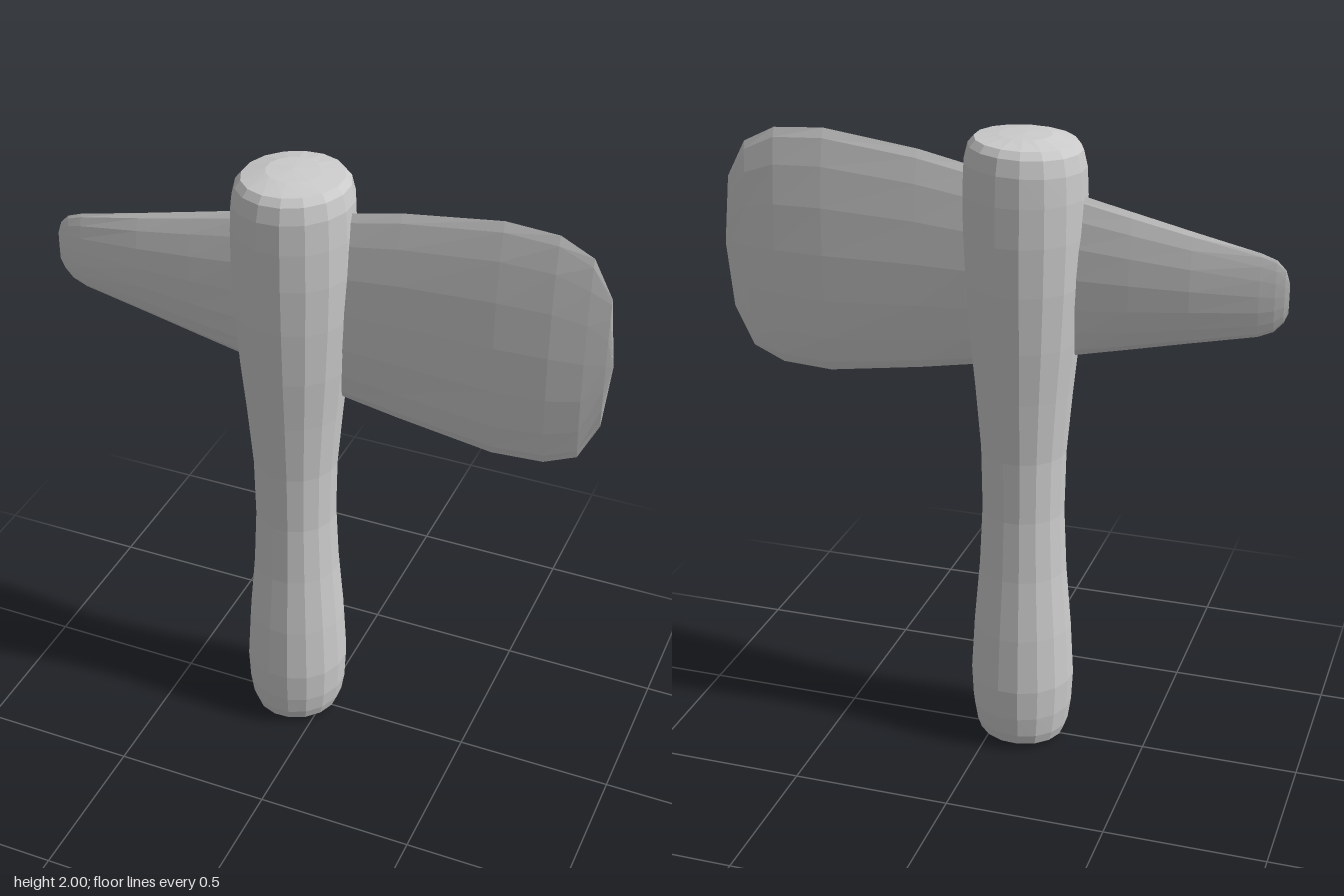
import * as THREE from 'three';

const material = new THREE.MeshStandardMaterial({ color: 0xcccccc, flatShading: true, side: THREE.DoubleSide });

// Waisted handle with shallow domed ends, slightly skewed at both ends
function makeHandle() {
  const profile = [
    [0, 0], [0.08, 0.008], [0.138, 0.02], [0.15, 0.055], [0.16, 0.12], [0.165, 0.22],
    [0.155, 0.4], [0.138, 0.6], [0.129, 0.8], [0.133, 1.0], [0.15, 1.2],
    [0.167, 1.37], [0.18, 1.55], [0.186, 1.7], [0.186, 1.82], [0.182, 1.91],
    [0.17, 1.96], [0.152, 1.982], [0.08, 1.996], [0, 2.0],
  ].map(([r, y]) => new THREE.Vector2(r, y));
  const geometry = new THREE.LatheGeometry(profile, 16, Math.PI / 16);
  const pos = geometry.attributes.position;
  for (let i = 0; i < pos.count; i++) {
    const y = pos.getY(i);
    if (y > 0.015 && y < 0.1 || y > 1.9 && y < 1.99) pos.setY(i, y + 0.04 * pos.getX(i));
  }
  geometry.computeVertexNormals();
  const mesh = new THREE.Mesh(geometry, material);
  mesh.name = 'handle';
  mesh.position.x = -0.092;
  return mesh;
}

// Lens-shaped sections lofted along x: [x, bottom y, top y, half thickness]
function makeBlade() {
  const sections = [
    [-0.885, 1.53, 1.62, 0.001], [-0.872, 1.5, 1.66, 0.006], [-0.845, 1.47, 1.687, 0.012],
    [-0.8, 1.45, 1.703, 0.018], [-0.6, 1.407, 1.748, 0.036], [-0.42, 1.367, 1.79, 0.043],
    [-0.25, 1.33, 1.83, 0.045], [0.08, 1.262, 1.89, 0.046], [0.24, 1.234, 1.925, 0.046],
    [0.54, 1.19, 1.965, 0.045], [0.7, 1.2, 1.955, 0.036], [0.8, 1.245, 1.905, 0.02],
    [0.86, 1.37, 1.79, 0.007], [0.88, 1.57, 1.58, 0.001],
  ];
  const sides = 16, positions = [], index = [];
  for (const [x, low, high, t] of sections) {
    for (let j = 0; j < sides; j++) {
      const a = (j / sides) * Math.PI * 2;
      const s = Math.sin(a);
      const z = Math.sign(s) * Math.pow(Math.abs(s), 1.35) * t;
      positions.push(x, (low + high) / 2 + Math.cos(a) * (high - low) / 2, z - 0.005);
    }
  }
  for (let i = 0; i < sections.length - 1; i++) {
    for (let j = 0; j < sides; j++) {
      const a = i * sides + j, b = i * sides + (j + 1) % sides;
      index.push(a, a + sides, b, b, a + sides, b + sides);
    }
  }
  // Close both tips
  const last = (sections.length - 1) * sides;
  for (let j = 1; j < sides - 1; j++) {
    index.push(0, j, j + 1, last, last + j + 1, last + j);
  }
  const geometry = new THREE.BufferGeometry();
  geometry.setAttribute('position', new THREE.Float32BufferAttribute(positions, 3));
  geometry.setIndex(index);
  geometry.computeVertexNormals();
  const mesh = new THREE.Mesh(geometry, material);
  mesh.name = 'blade';
  return mesh;
}

export function createModel() {
  const axe = new THREE.Group();
  axe.name = 'axe';
  axe.add(makeHandle(), makeBlade());
  return axe;
}
